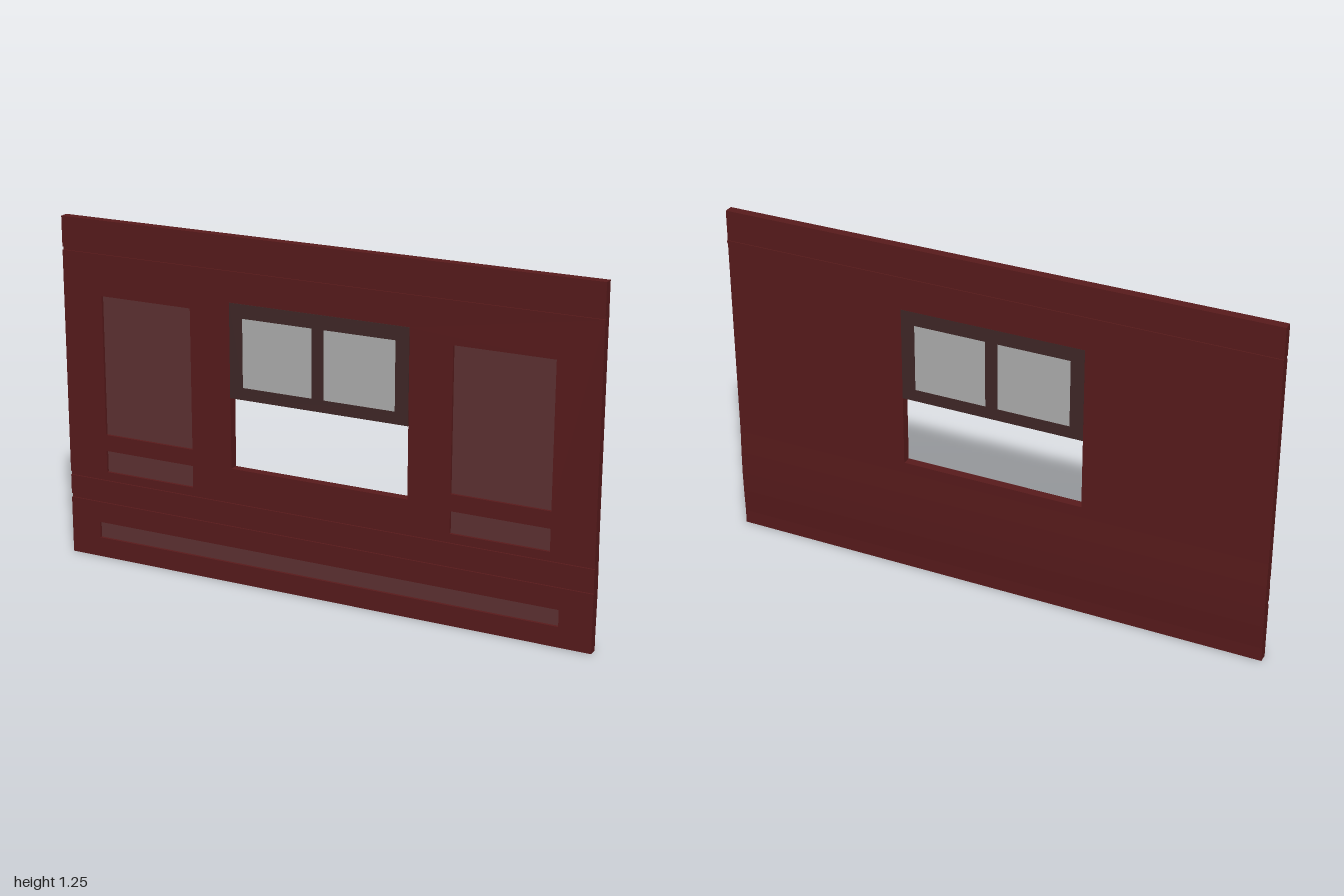
import * as THREE from 'three';

const BACK = -0.014, MID = 0.008, FRONT = 0.019;

const material = (color) => new THREE.MeshStandardMaterial({ color });

// Rectangles are [x0, y0, x1, y1]
function trace(path, [x0, y0, x1, y1]) {
  path.moveTo(x0, y0);
  path.lineTo(x1, y0);
  path.lineTo(x1, y1);
  path.lineTo(x0, y1);
  path.closePath();
  return path;
}

export function createModel() {
  const group = new THREE.Group();
  const red = material(0x591b1c);
  const panelRed = material(0x5f3233);
  const frameBrown = material(0x402827);
  const glass = material(0xb0b0b0);

  const add = (name, geometry, mat) => {
    const mesh = new THREE.Mesh(geometry, mat);
    mesh.name = name;
    group.add(mesh);
  };

  // Upright board between two depths, with rectangular openings
  const board = (name, rect, z0, z1, mat, holes = []) => {
    const shape = trace(new THREE.Shape(), rect);
    holes.forEach((h) => shape.holes.push(trace(new THREE.Path(), h)));
    const geometry = new THREE.ExtrudeGeometry(shape, { depth: z1 - z0, bevelEnabled: false });
    add(name, geometry.translate(0, 0, z0), mat);
  };

  const opening = [-0.335, 0.425, 0.335, 1.02];
  const sidePanels = [
    [-0.845, 0.47, -0.49, 0.98], [0.49, 0.47, 0.845, 0.98],
    [-0.845, 0.33, -0.49, 0.41], [0.49, 0.33, 0.845, 0.41],
  ];
  const basePanel = [-0.883, 0.073, 0.883, 0.133];

  // Wall core and the raised front boards
  board('wallCore', [-1, 0, 1, 1.25], BACK, MID, red, [opening]);
  board('headerBoard', [-1, 1.14, 1, 1.25], MID, FRONT, red);
  board('mainBoard', [-1, 0.31, 1, 1.129], MID, FRONT, red, [opening, ...sidePanels]);
  board('railBoard', [-1, 0.224, 1, 0.296], MID, FRONT, red);
  board('baseBoard', [-1, 0, 1, 0.21], MID, FRONT, red, [basePanel]);

  // Floors of the grooves between the boards
  for (const [y0, y1] of [[1.129, 1.14], [0.296, 0.31], [0.21, 0.224]]) {
    board('groove', [-1, y0, 1, y1], MID, FRONT - 0.006, red);
  }

  // Recessed panels
  for (const rect of [...sidePanels, basePanel]) {
    board('recessedPanel', rect, MID, MID + 0.001, panelRed);
  }

  // Half-open window: raised sash with two panes
  const panes = [[-0.286, 0.725, -0.022, 0.97], [0.022, 0.725, 0.286, 0.97]];
  board('windowSash', [-0.335, 0.682, 0.335, 1.02], BACK - 0.0005, 0.021, frameBrown, panes);
  panes.forEach((p) => board('windowPane', p, BACK + 0.001, FRONT, glass));

  // Small ridge along the back
  board('backRidge', [-1, 1.129, 1, 1.14], -0.018, BACK, red);

  // Shallow swelling along the lower back, swept across the wall
  const swell = new THREE.Shape([
    [0.012, 0.04], [0.014, 0.05], [0.0175, 0.14], [0.019, 0.215],
    [0.0175, 0.3], [0.014, 0.385], [0.012, 0.395],
  ].map(([x, y]) => new THREE.Vector2(x, y)));
  const swellGeometry = new THREE.ExtrudeGeometry(swell, { depth: 2, bevelEnabled: false });
  add('backSwelling', swellGeometry.rotateY(Math.PI / 2).translate(-1, 0, 0), red);

  return group;
}
